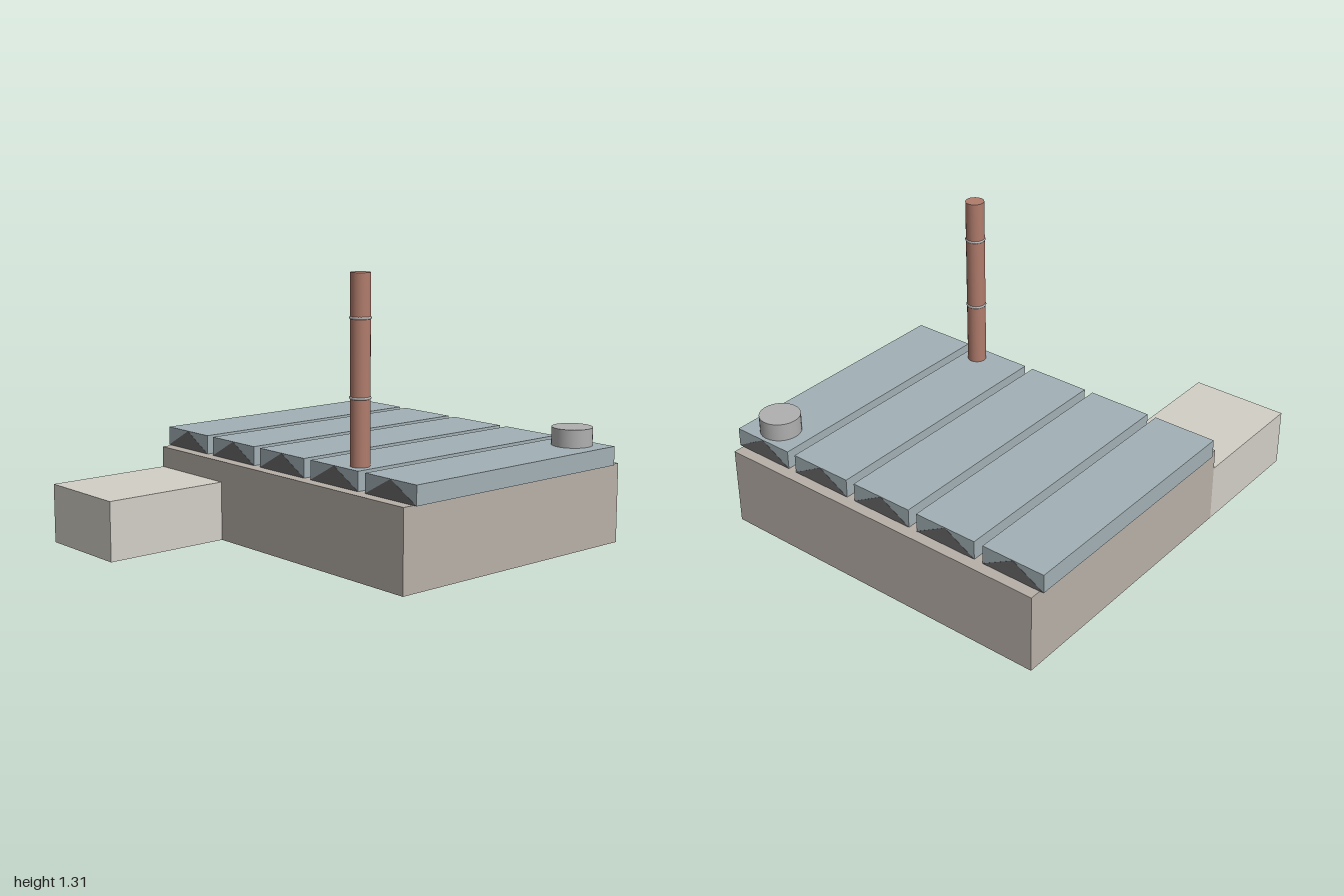
import * as THREE from 'three';

const mat = (color) => new THREE.MeshStandardMaterial({ color });
const wall = mat(0xb8b0a8), annexWall = mat(0xd2cfc6), roofing = mat(0xa2b0b5);
const glazing = mat(0x68686a), brick = mat(0xb07c6c), metal = mat(0xb0b0b0);

export function createModel() {
  const model = new THREE.Group();
  model.name = 'factory';

  const add = (name, geometry, material, x, y, z) => {
    const mesh = new THREE.Mesh(geometry, material);
    mesh.name = name;
    mesh.position.set(x, y, z);
    model.add(mesh);
    return mesh;
  };
  // Box given by its minimum and maximum corners
  const box = (name, material, [x0, y0, z0], [x1, y1, z1]) =>
    add(name, new THREE.BoxGeometry(x1 - x0, y1 - y0, z1 - z0), material,
      (x0 + x1) / 2, (y0 + y1) / 2, (z0 + z1) / 2);

  // Main hall and the low office wing
  box('mainHall', wall, [-0.865, 0, -1], [0.865, 0.38, 0.38]);
  box('officeWing', annexWall, [-0.865, 0, 0.38], [-0.385, 0.28, 1]);

  // Roof bays, each with a triangular gable running from end to end
  const bayWidth = 0.318, base = 0.38, top = 0.47, back = -0.945, front = 0.325;
  const proud = 0.001;
  const gable = new THREE.Shape();
  gable.moveTo(-bayWidth / 2, 0);
  gable.lineTo(bayWidth / 2, 0);
  gable.lineTo(0, top - base - 0.001);
  gable.closePath();
  const gableGeometry = new THREE.ExtrudeGeometry(gable, {
    depth: front - back + 2 * proud, bevelEnabled: false,
  });
  for (let i = -2; i <= 2; i++) {
    const x = i * 0.363;
    box('roofBay', roofing, [x - bayWidth / 2, base, back], [x + bayWidth / 2, top, front]);
    add('roofGable', gableGeometry, glazing, x, base + 0.0005, back - proud);
  }

  // Chimney stack with two metal bands
  const cx = 0.445, cz = 0.245, chimneyTop = 1.315;
  add('chimney', new THREE.CylinderGeometry(0.045, 0.045, chimneyTop - 0.002, 20), brick,
    cx, chimneyTop / 2 + 0.001, cz);
  for (const y of [0.772, 1.12]) {
    add('chimneyBand', new THREE.TorusGeometry(0.042, 0.007, 8, 24), metal, cx, y, cz)
      .rotation.x = Math.PI / 2;
  }

  // Round roof tank
  add('roofTank', new THREE.CylinderGeometry(0.096, 0.096, 0.09, 24), metal, 0.725, 0.51, -0.83);

  return model;
}
